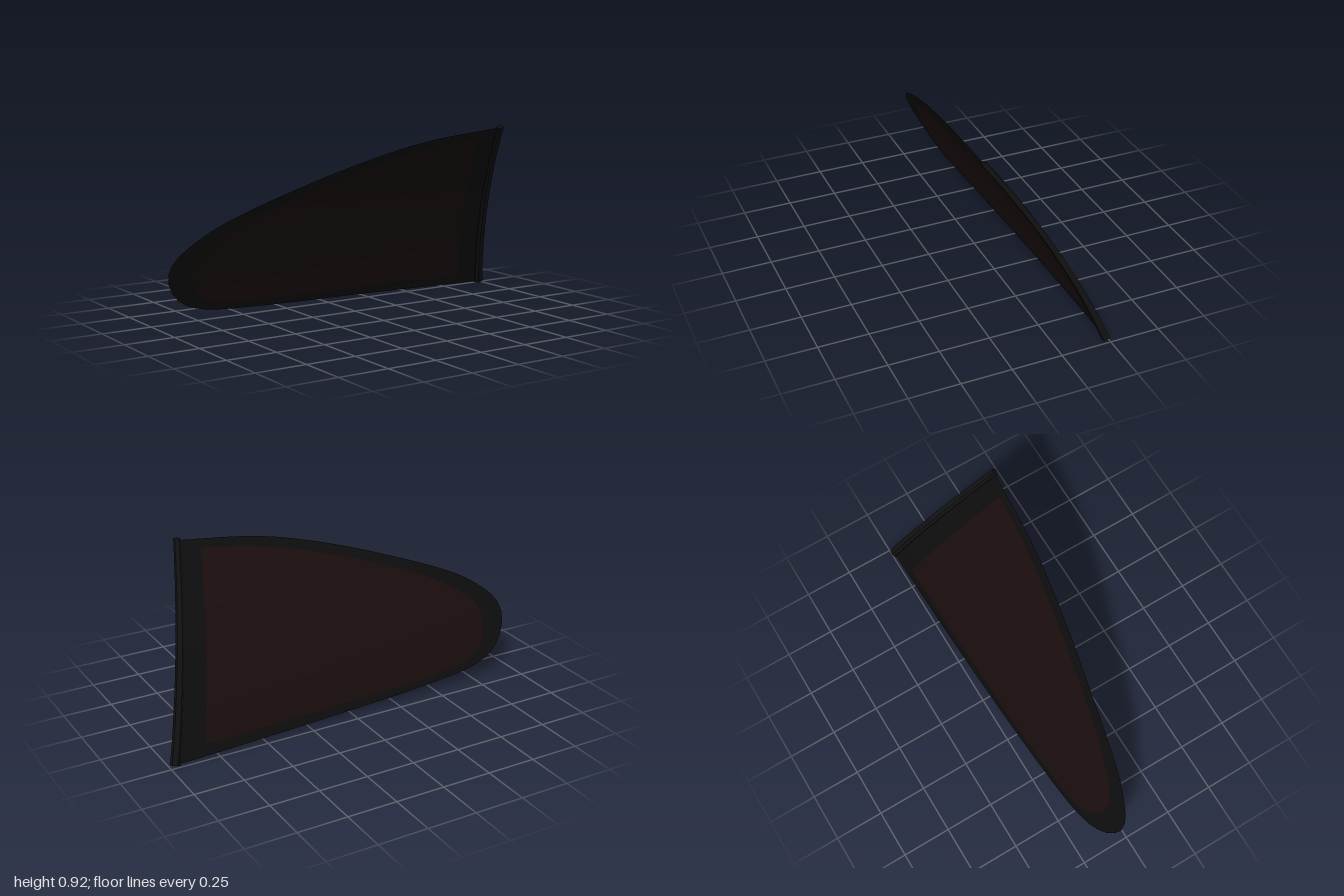
import * as THREE from 'three';

const material = (color) => new THREE.MeshStandardMaterial({ color, side: THREE.DoubleSide });

// Curved sheet on which the whole panel lies: depth as a function of x and y
const depth = (x, y) => -0.24 + 0.355 * y + 0.21 * y * y + 0.017 * (1 - x) ** 2;

// Smooth curve through 2D points, evenly sampled
const curve = (pts, n = 36) =>
  new THREE.SplineCurve(pts.map(([x, y]) => new THREE.Vector2(x, y))).getSpacedPoints(n);

// Straight line from a to b, end points left out
const between = (a, b, n = 12) =>
  Array.from({ length: n - 1 }, (_, i) => a.clone().lerp(b, (i + 1) / n));

// Quads joining successive rows of equal length
function gridGeometry(rows, closed = false) {
  const n = rows[0].length;
  const index = [];
  for (let j = 0; j < rows.length - 1; j++) {
    for (let i = 0; i < (closed ? n : n - 1); i++) {
      const k = (i + 1) % n;
      const a = j * n + i, b = j * n + k, c = a + n, d = b + n;
      index.push(a, c, b, b, c, d);
    }
  }
  const geometry = new THREE.BufferGeometry().setFromPoints(rows.flat());
  geometry.setIndex(index);
  geometry.computeVertexNormals();
  return geometry;
}

// Sheet between two 2D lines, laid on the curved surface
function sheet(lineA, lineB, steps, closed) {
  const rows = [];
  for (let j = 0; j <= steps; j++) {
    rows.push(lineA.map((p, i) => {
      const q = p.clone().lerp(lineB[i], j / steps);
      return new THREE.Vector3(q.x, q.y, depth(q.x, q.y));
    }));
  }
  return gridGeometry(rows, closed);
}

// Closed loop: tip, lower edge, straight end, upper edge back to the tip
const loop = (lower, upper) => [
  ...lower,
  ...between(lower.at(-1), upper.at(-1)),
  ...upper.slice(1).reverse(),
];

// Edge strip: a bevelled section swept along the straight end
function trimGeometry() {
  const section = [
    [-0.022, -0.007], [-0.022, 0.007], [-0.008, 0.017],
    [0.02, 0.015], [0.02, -0.015], [-0.008, -0.017],
  ];
  const at = (t) => {
    const x = 0.974 - 0.274 * t, y = 0.012 + 0.903 * t;
    return new THREE.Vector3(x, y, depth(x, y));
  };
  const rows = [];
  const steps = 16;
  for (let j = 0; j <= steps; j++) {
    const t = j / steps;
    const p = at(t);
    const along = at(t + 0.01).sub(at(t - 0.01)).normalize();
    const e = 0.01;
    const normal = new THREE.Vector3(
      (depth(p.x - e, p.y) - depth(p.x + e, p.y)) / (2 * e),
      (depth(p.x, p.y - e) - depth(p.x, p.y + e)) / (2 * e), 1).normalize();
    const across = along.clone().cross(normal).normalize();
    const size = 1 - 0.25 * t;
    rows.push(section.map(([w, h]) => p.clone()
      .addScaledVector(across, w * size).addScaledVector(normal, h * size)));
  }
  // Collapsed rows close both ends
  const cap = (row) => {
    const c = row.reduce((s, v) => s.add(v), new THREE.Vector3()).divideScalar(row.length);
    return row.map(() => c.clone());
  };
  return gridGeometry([cap(rows[0]), ...rows, cap(rows.at(-1))], true);
}

export function createModel() {
  const group = new THREE.Group();
  group.name = 'quarterWindow';
  const add = (name, geometry, mat) => {
    const mesh = new THREE.Mesh(geometry, mat);
    mesh.name = name;
    group.add(mesh);
  };

  const outerLower = curve([[-1, 0.29], [-0.985, 0.23], [-0.945, 0.17], [-0.87, 0.112],
    [-0.75, 0.075], [-0.6, 0.06], [-0.3, 0.046], [0.2, 0.033], [0.968, 0.012]]);
  const outerUpper = curve([[-1, 0.29], [-0.985, 0.345], [-0.94, 0.4], [-0.8, 0.5],
    [-0.6, 0.59], [-0.4, 0.665], [-0.2, 0.735], [0, 0.795], [0.2, 0.845],
    [0.4, 0.878], [0.695, 0.908]]);
  const innerLower = curve([[-0.87, 0.29], [-0.855, 0.22], [-0.8, 0.145], [-0.7, 0.105],
    [-0.55, 0.09], [-0.3, 0.082], [0.2, 0.076], [0.81, 0.068]]);
  const innerUpper = curve([[-0.87, 0.29], [-0.845, 0.36], [-0.74, 0.45], [-0.6, 0.53],
    [-0.4, 0.615], [-0.2, 0.685], [0, 0.747], [0.2, 0.8], [0.4, 0.838], [0.595, 0.862]]);

  // Tinted pane, dark border around it, and the strip on the straight end
  add('glass', sheet(innerLower, innerUpper, 16), material(0x1a0d0d));
  add('border', sheet(loop(outerLower, outerUpper), loop(innerLower, innerUpper), 3, true),
    material(0x0d0d0d));
  const trim = trimGeometry().toNonIndexed();
  trim.computeVertexNormals();
  const trimMaterial = material(0x111111);
  trimMaterial.flatShading = true;
  add('edgeTrim', trim, trimMaterial);

  // Stand the lowest point on the ground
  const box = new THREE.Box3().setFromObject(group);
  group.position.y = -box.min.y;
  return group;
}
